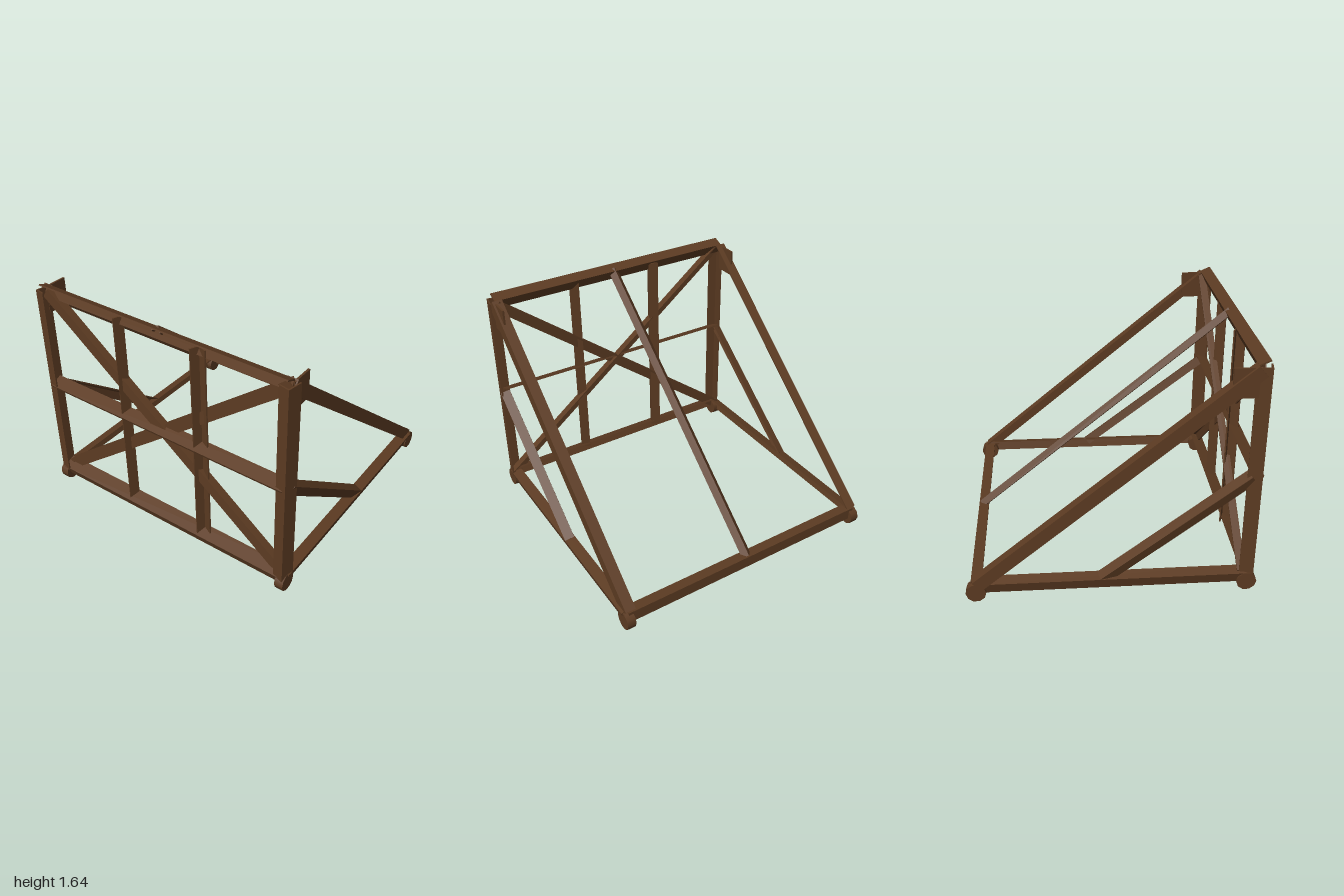
import * as THREE from 'three';

const wood = new THREE.MeshStandardMaterial({ color: 0x5c3b22 });
wood.name = 'brown timber';
const T = 0.01; // flange thickness

const V3 = (p) => new THREE.Vector3(...p);

// Angle-section beam: its corner runs from a to b, flanges point along u and v
function angleBeam(group, name, a, b, u, v, lu = 0.077, lv = lu) {
  const A = V3(a), B = V3(b);
  const W = B.clone().sub(A), length = W.length();
  W.normalize();
  let U = V3(u);
  U.addScaledVector(W, -U.dot(W)).normalize();
  let V = W.clone().cross(U);
  if (V.dot(V3(v)) < 0) {
    V.negate();
    [U, V] = [V, U];
    [lu, lv] = [lv, lu];
  }
  const section = new THREE.Shape([[0, 0], [lu, 0], [lu, T], [T, T], [T, lv], [0, lv]]
    .map(([x, y]) => new THREE.Vector2(x, y)));
  const geometry = new THREE.ExtrudeGeometry(section, { depth: length, bevelEnabled: false });
  geometry.applyMatrix4(new THREE.Matrix4().makeBasis(U, V, W).setPosition(A));
  const mesh = new THREE.Mesh(geometry, wood);
  mesh.name = name;
  group.add(mesh);
}

export function createModel() {
  const g = new THREE.Group();
  g.name = 'slopedFrame';

  // Front wall rails, each turned a little about its length
  angleBeam(g, 'frontBottomRail', [-0.97, 0.118, 0.945], [0.95, 0.118, 0.945],
    [0, 0.38, -0.92], [0, -0.92, -0.38], 0.1, 0.075);
  angleBeam(g, 'frontMiddleRail', [-0.97, 0.86, 0.95], [0.945, 0.86, 0.95],
    [0, 0.38, -0.92], [0, -0.92, -0.38], 0.095, 0.02);
  angleBeam(g, 'frontTopRail', [-0.97, 1.612, 0.85], [0.945, 1.612, 0.85],
    [0, 0.4, 0.92], [0, -0.92, 0.4], 0.08, 0.075);

  // Rail along the back foot
  angleBeam(g, 'backBottomRail', [-0.97, 0.14, -0.925], [0.95, 0.14, -0.925],
    [0, 0, 1], [0, -1, 0], 0.072, 0.085);

  // Corner posts
  angleBeam(g, 'rightPost', [-0.995, 0.1, 0.935], [-0.995, 1.6, 0.935],
    [0.98, 0, 0.18], [0.18, 0, -0.98], 0.075, 0.095);
  angleBeam(g, 'leftPost', [0.967, 0.1, 0.95], [0.967, 1.6, 0.95],
    [-0.98, 0, -0.18], [0.18, 0, -0.98], 0.075, 0.105);

  // Inner studs, with one flange pointing forward
  angleBeam(g, 'rightStud', [-0.302, 0.12, 0.86], [-0.302, 1.6, 0.86],
    [-0.92, 0, -0.38], [-0.38, 0, 0.92], 0.072);
  angleBeam(g, 'leftStud', [0.293, 0.12, 0.86], [0.293, 1.6, 0.86],
    [0.92, 0, 0.38], [-0.38, 0, 0.92], 0.072);

  // Crossed braces in the front wall
  angleBeam(g, 'crossBraceFalling', [-0.92, 1.61, 0.905], [0.975, 0.14, 0.905],
    [-0.61, -0.79, 0], [0, 0, -1], 0.078, 0.055);
  angleBeam(g, 'crossBraceRising', [-0.975, 0.14, 0.885], [0.92, 1.61, 0.885],
    [0.61, -0.79, 0], [0, 0, -1], 0.078, 0.055);

  // Parts repeated on both sides; s is the outward direction
  for (const s of [-1, 1]) {
    const side = s < 0 ? 'right' : 'left';
    const edge = s < 0 ? -1 : 0.967;
    const outer = s < 0 ? -0.998 : 0.987;

    angleBeam(g, side + 'BottomRail', [outer, 0.128, 0.89], [outer, 0.128, -0.89],
      [-s * 0.96, 0.28, 0], [-s * 0.28, -0.96, 0], 0.075, 0.08);
    angleBeam(g, side + 'SlopedRafter', [edge, 1.615, 0.85], [edge, 0.145, -0.915],
      [-s, 0, 0], [0, -1, 0], 0.075, 0.087);
    angleBeam(g, side + 'SideBrace', [outer, 0.865, 0.87], [outer, 0.13, -0.08],
      [-s * 0.94, 0.28, -0.2], [-s * 0.3, -0.95, 0], 0.07, 0.07);

    // Plate joining post and rafter
    const gusset = new THREE.Mesh(new THREE.BoxGeometry(0.014, 0.195, 0.16), wood);
    gusset.name = side + 'GussetPlate';
    gusset.position.set(s < 0 ? -0.975 : 0.945, 1.502, 0.785);
    g.add(gusset);

    // Round feet
    for (const z of [0.893, -0.893]) {
      const wheel = new THREE.Mesh(new THREE.CylinderGeometry(0.067, 0.067, 0.063, 10), wood);
      wheel.name = side + (z > 0 ? 'Front' : 'Back') + 'Foot';
      wheel.geometry.rotateZ(Math.PI / 2);
      wheel.position.set(s < 0 ? -0.968 : 0.947, 0.065, z);
      g.add(wheel);
    }
  }

  // Middle rafter, ridge upward
  angleBeam(g, 'middleRafter', [-0.01, 1.635, 0.87], [-0.01, 0.15, -0.92],
    [1, -0.77, 0.64], [-1, -0.77, 0.64], 0.054);

  return g;
}
